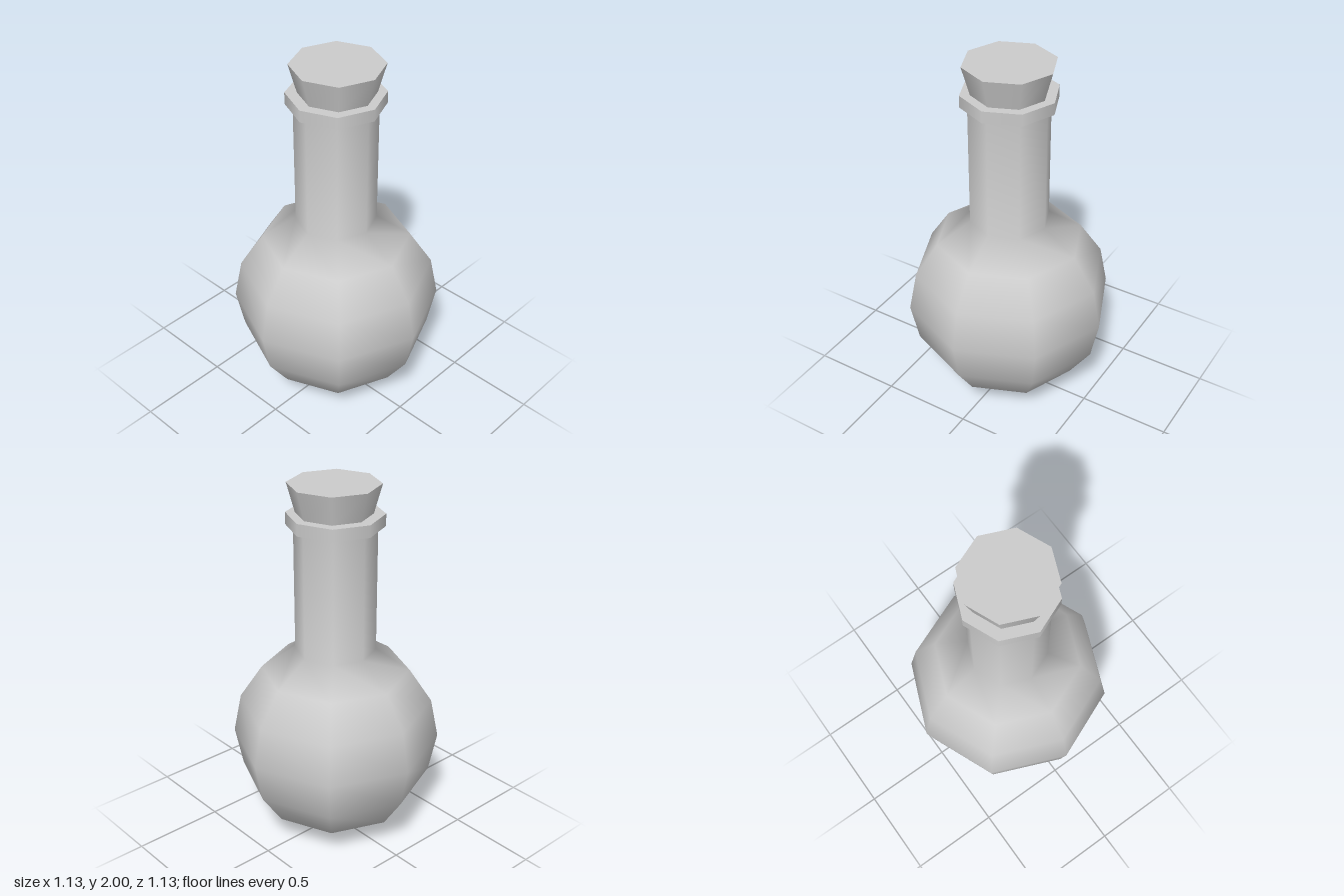
import * as THREE from 'three';

const SIDES = 8;
const material = new THREE.MeshStandardMaterial({ color: 0xcccccc });

export function createModel() {
  const flask = new THREE.Group();
  flask.name = 'flask';

  const add = (name, geometry, x, y, z) => {
    const mesh = new THREE.Mesh(geometry, material);
    mesh.name = name;
    mesh.position.set(x, y, z);
    flask.add(mesh);
  };

  // Round bulb, one octagonal ring per 22.5 degrees, running on into the straight neck
  const radius = 0.565, centreY = 0.57;
  const profile = [];
  for (let i = 0; i < 8; i++) {
    const a = (i * Math.PI) / 8;
    profile.push(new THREE.Vector2(radius * Math.sin(a), centreY - radius * Math.cos(a)));
  }
  profile.push(new THREE.Vector2(0.216, 1.79));
  add('bulbAndNeck', new THREE.LatheGeometry(profile, SIDES), 0, 0, 0);

  // Flat lip around the mouth
  add('lip', new THREE.CylinderGeometry(0.255, 0.255, 0.065, SIDES), 0, 1.8125, 0);

  // Tapered stopper, seated slightly off centre
  add('stopper', new THREE.CylinderGeometry(0.242, 0.198, 0.16, SIDES), 0.006, 1.92, -0.003);

  return flask;
}
